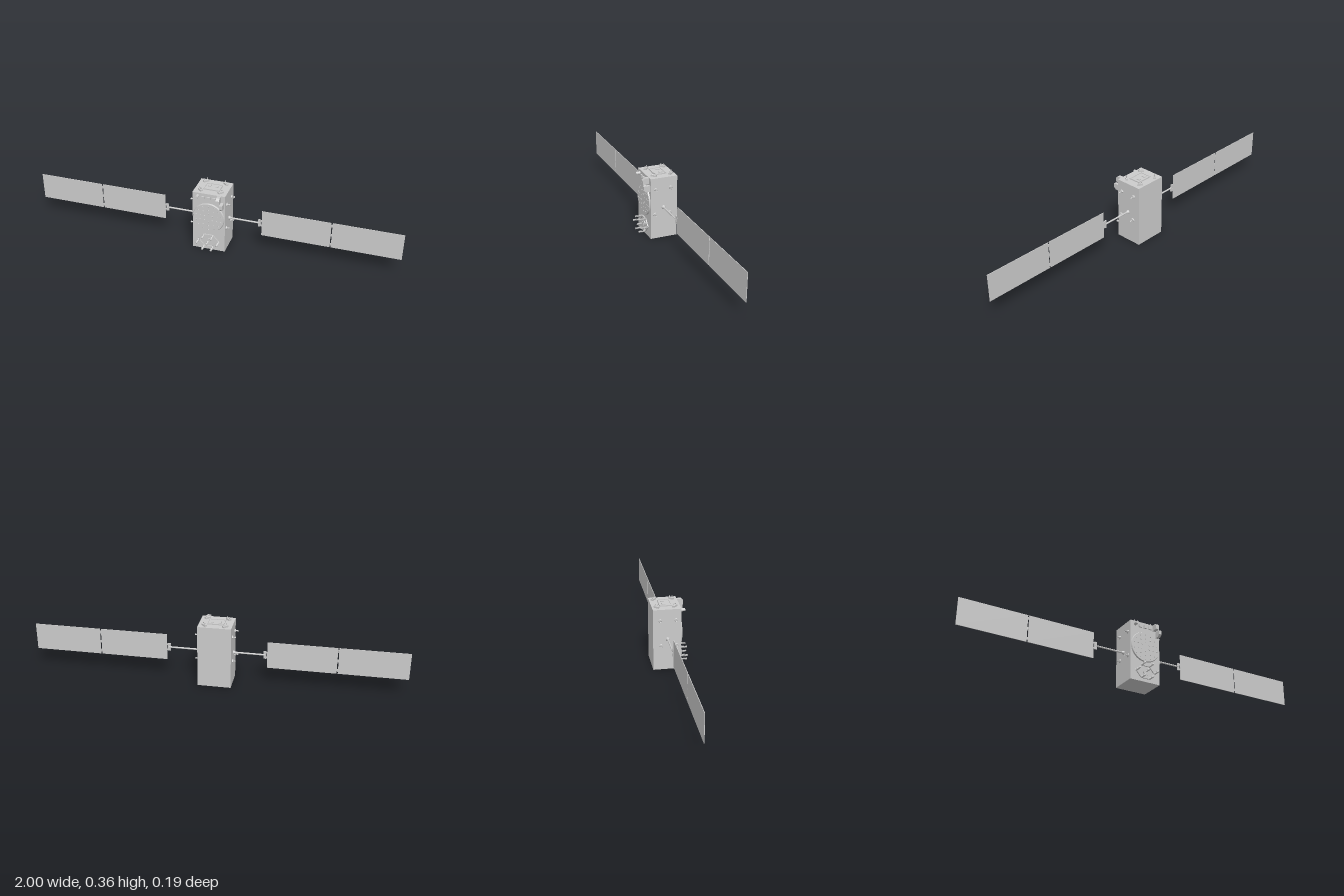
import * as THREE from 'three';

const mat = new THREE.MeshStandardMaterial({ color: 0xcccccc, side: THREE.DoubleSide });
const flat = new THREE.MeshStandardMaterial({ color: 0xcccccc, side: THREE.DoubleSide, flatShading: true });

function add(parent, name, geometry, x = 0, y = 0, z = 0, material = flat) {
  const mesh = new THREE.Mesh(geometry, material);
  mesh.name = name;
  mesh.position.set(x, y, z);
  parent.add(mesh);
  return mesh;
}
const box = (w, h, d) => new THREE.BoxGeometry(w, h, d);
const cyl = (rTop, rBottom, h, n = 16) => new THREE.CylinderGeometry(rTop, rBottom, h, n);
const cylZ = (rFront, rBack, h, n) => cyl(rFront, rBack, h, n).rotateX(Math.PI / 2);
const lathe = (pts, n) => new THREE.LatheGeometry(pts.map(p => new THREE.Vector2(...p)), n);

// Small nozzle along +y: hexagonal foot, neck and flared bell
function thruster(size) {
  const g = new THREE.Group();
  g.name = 'thruster';
  add(g, 'thrusterFoot', cyl(0.7 * size, size, 0.6 * size, 6), 0, 0.3 * size, 0);
  add(g, 'thrusterBell', lathe([[0, 0.6], [0.35, 0.6], [0.25, 1], [0.4, 1.4], [0.5, 1.8], [0.4, 1.8], [0, 1]]
    .map(p => [p[0] * size, p[1] * size]), 12), 0, 0, 0, mat);
  return g;
}

// Ribbed rod antenna along +z
function rodAntenna(length) {
  const pts = [[0, 0], [0.006, 0], [0.006, 0.003], [0.002, 0.003]];
  const ribs = 6, step = (length - 0.005) / ribs;
  for (let i = 0; i < ribs; i++) {
    const y = 0.005 + i * step;
    pts.push([0.002, y], [0.0055, y + step * 0.2], [0.0055, y + step * 0.6], [0.002, y + step * 0.8]);
  }
  pts.push([0, length]);
  return lathe(pts, 10).rotateX(Math.PI / 2);
}

// Sensor housing with two bevelled front corners, profile in z and y
function sensorHousing(width, sign) {
  const s = new THREE.Shape();
  s.moveTo(0, -0.0165);
  s.lineTo(0.035, -0.0165);
  s.lineTo(0.035, 0.005);
  s.lineTo(0.024, 0.0165);
  s.lineTo(0, 0.0165);
  const geo = new THREE.ExtrudeGeometry(s, { depth: width, bevelEnabled: false });
  geo.translate(0, 0, -width / 2).rotateY(-Math.PI / 2);
  if (sign < 0) geo.rotateZ(Math.PI);
  return geo;
}

function solarWing(side) {
  const wing = new THREE.Group();
  wing.name = side > 0 ? 'leftWing' : 'rightWing';
  const y = 0.172, z = -0.018;
  add(wing, 'boomRoot', cyl(0.006, 0.011, 0.012, 12).rotateZ(-side * Math.PI / 2), side * 0.094, y, z, mat);
  add(wing, 'boom', cyl(0.0045, 0.0045, 0.165, 12).rotateZ(Math.PI / 2), side * 0.175, y, z, mat);
  add(wing, 'yokePlate', box(0.014, 0.042, 0.006), side * 0.256, y, z);
  for (const dy of [-0.014, 0.014]) add(wing, 'yokeTab', box(0.01, 0.008, 0.004), side * 0.265, y + dy, z);
  add(wing, 'innerPanel', box(0.364, 0.147, 0.003), side * 0.45, y, z);
  add(wing, 'outerPanel', box(0.362, 0.147, 0.003), side * 0.819, y, z);
  for (const dy of [-0.055, 0, 0.055])
    add(wing, 'panelHinge', cyl(0.003, 0.003, 0.014, 8), side * 0.635, y + dy, z);
  return wing;
}

export function createModel() {
  const model = new THREE.Group();
  model.name = 'satellite';
  const front = 0.053, top = 0.338;

  add(model, 'body', box(0.177, top, 0.148), 0, top / 2, -0.021);
  model.add(solarWing(1), solarWing(-1));

  // Side thrusters, two pairs on each flank
  for (const side of [-1, 1])
    for (const [z, y] of [[0.025, 0.278], [-0.058, 0.278], [0.03, 0.138], [-0.053, 0.138]]) {
      const t = thruster(0.0105);
      t.position.set(side * 0.088, y, z);
      t.rotation.z = -side * Math.PI / 2;
      model.add(t);
    }

  // Large round front antenna with studs
  const dish = new THREE.Group();
  dish.name = 'dishAntenna';
  dish.position.set(0, 0.197, front);
  model.add(dish);
  add(dish, 'dishPlate', cylZ(0.083, 0.086, 0.007, 48), 0, 0, 0.0035);
  for (const [count, r] of [[6, 0.025], [10, 0.048], [14, 0.07]])
    for (let i = 0; i < count; i++) {
      const a = (i + 0.5) / count * Math.PI * 2;
      add(dish, 'dishStud', cylZ(0.003, 0.004, 0.003, 8), r * Math.cos(a), r * Math.sin(a), 0.008);
    }

  // Lower antenna cluster: hexagonal base frame, ribbed rods and a central disc
  const cluster = new THREE.Group();
  cluster.name = 'rodCluster';
  cluster.position.set(0, 0.055, front);
  model.add(cluster);
  const corners = [[0.055, 0], [0.024, 0.035], [-0.024, 0.035], [-0.055, 0], [-0.024, -0.035], [0.024, -0.035]];
  corners.forEach(([x, y], i) => {
    const [nx, ny] = corners[(i + 1) % 6];
    const bar = add(cluster, 'frameBar', box(Math.hypot(nx - x, ny - y), 0.005, 0.006), (x + nx) / 2, (y + ny) / 2, 0.003);
    bar.rotation.z = Math.atan2(ny - y, nx - x);
    add(cluster, 'rodAntenna', rodAntenna(0.042), x, y, 0.003, mat);
  });
  add(cluster, 'centreBase', cylZ(0.014, 0.014, 0.006, 16), 0, 0, 0.003);
  add(cluster, 'centreDisc', cylZ(0.023, 0.023, 0.0015, 24), 0, 0, 0.016);
  add(cluster, 'centreRod', rodAntenna(0.042), 0, 0, 0.003, mat);

  // Front sensors above the dish
  add(model, 'upperSensor', sensorHousing(0.018, 1), 0.057, 0.3205, front);
  add(model, 'lowerSensor', sensorHousing(0.016, -1), 0.074, 0.283, front);
  add(model, 'roundSensor', cylZ(0.008, 0.009, 0.024, 16), -0.06, 0.32, front + 0.012);
  for (const x of [-0.03, 0, 0.03]) add(model, 'frontUnit', box(0.018, 0.016, 0.008), x, 0.314, front + 0.004);

  // Roof: shallow frame, small units and four angled thruster blocks
  add(model, 'roofPlate', box(0.085, 0.003, 0.06), 0, top + 0.0015, -0.021);
  for (const s of [-1, 1]) {
    add(model, 'roofRailLong', box(0.09, 0.006, 0.005), 0, top + 0.003, -0.021 + s * 0.03);
    add(model, 'roofRailShort', box(0.005, 0.006, 0.06), s * 0.042, top + 0.003, -0.021);
    add(model, 'roofUnit', box(0.014, 0.006, 0.02), s * 0.02, top + 0.004, -0.03);
    for (const t of [-1, 1]) {
      const block = new THREE.Group();
      block.name = 'roofThrusterBlock';
      block.position.set(s * 0.055, top, -0.024 + t * 0.047);
      block.rotation.y = s * t * Math.PI / 4;
      model.add(block);
      add(block, 'blockBase', box(0.03, 0.009, 0.014), 0, 0.0045, 0);
      for (const dx of [-0.008, 0.008]) {
        const nozzle = thruster(0.006);
        nozzle.position.set(dx, 0.008, 0);
        block.add(nozzle);
      }
    }
  }
  return model;
}
